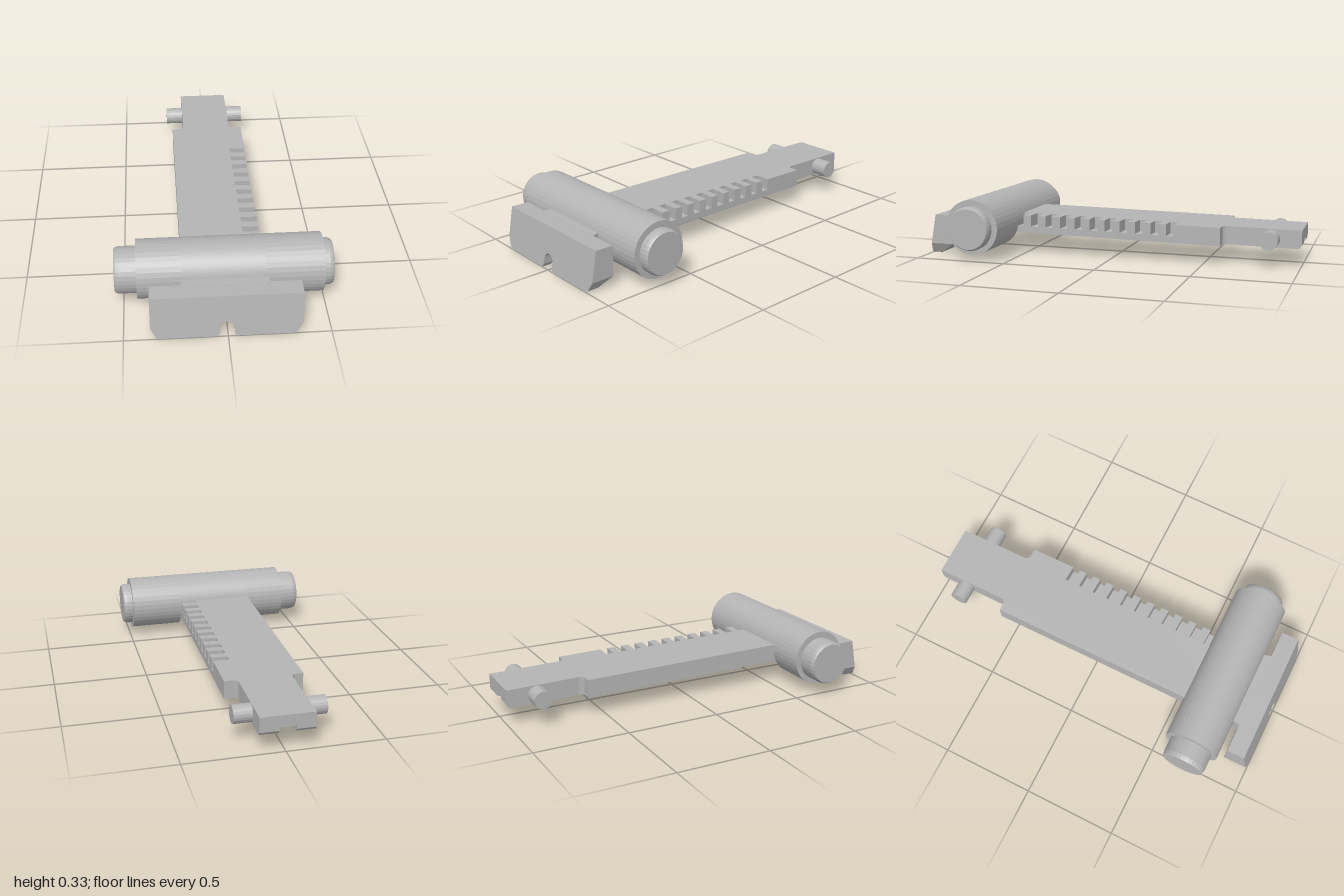
import * as THREE from 'three';

const steel = new THREE.MeshStandardMaterial({ color: 0xb4b4b4, flatShading: true });
steel.name = 'steel grey';

const BAR_L = -0.21, BAR_R = 0.2, TIP_L = -0.145, TIP_R = 0.13;
const GROOVE_L = -0.05, GROOVE_R = 0.035;
const AXIS_Y = 0.183, AXIS_Z = 0.685;

function shapeOf(points) {
  return new THREE.Shape(points.map(([a, b]) => new THREE.Vector2(a, b)));
}

function add(group, name, geometry) {
  const mesh = new THREE.Mesh(geometry, steel);
  mesh.name = name;
  group.add(mesh);
}

// The bar rises gently towards the front
function slope(geometry) {
  const p = geometry.attributes.position;
  for (let i = 0; i < p.count; i++) p.setY(i, p.getY(i) + 0.013 * p.getZ(i));
  geometry.computeVertexNormals();
  return geometry;
}

// Plan outline in (x, z), filled between two heights
function planSlab(points, bottom, top) {
  const g = new THREE.ExtrudeGeometry(shapeOf(points), { depth: top - bottom, bevelEnabled: false });
  return g.rotateX(Math.PI / 2).translate(0, top, 0);
}

// Side outline in (-z, y), filled between two x positions
function sideSlab(shape, x0, x1) {
  const g = new THREE.ExtrudeGeometry(shape, { depth: x1 - x0, bevelEnabled: false, curveSegments: 36 });
  return g.rotateY(Math.PI / 2).translate(x0, 0, 0);
}

// Round part along x, given as [radius, x] pairs
function turned(profile, y, z, sides) {
  const g = new THREE.LatheGeometry(profile.map(([r, x]) => new THREE.Vector2(r, -x)).reverse(), sides);
  return g.rotateZ(Math.PI / 2).translate(0, y, z);
}

// Front plate lofted along x, with chamfered corners, sighting notch and scooped back
function plateGeometry() {
  const lower = [[-0.372, 0.06], [-0.345, 0.012], [-0.325, 0.003], [-0.25, 0.003], [-0.19, 0.003],
    [-0.12, 0.003], [-0.05, 0.003], [-0.041, 0.02], [-0.039, 0.05]];
  for (let i = 1; i < 8; i++) {
    const a = Math.PI * (1 - i / 8);
    lower.push([-0.004 + 0.035 * Math.cos(a), 0.05 + 0.035 * Math.sin(a)]);
  }
  lower.push([0.031, 0.05], [0.033, 0.02], [0.04, 0.003], [0.12, 0.003], [0.19, 0.003],
    [0.25, 0.003], [0.315, 0.003], [0.335, 0.012], [0.362, 0.06]);

  const rings = lower.map(([x, y]) => {
    const back = 0.06 + 0.055 * Math.max(0, 1 - (x / 0.25) ** 2);
    const t = Math.min(1, (y - 0.003) / (back - 0.003));
    const zFront = 1 - 0.04 * (y / 0.22);
    return [[x, 0.22, 0.96], [x, 0.217, 0.865], [x, Math.max(back, y), 0.865], [x, y, 0.95 - 0.085 * t], [x, y, zFront]];
  });
  const pos = [];
  const tri = (a, b, c) => pos.push(...a, ...b, ...c);
  for (let i = 0; i < rings.length - 1; i++) {
    const a = rings[i], b = rings[i + 1];
    for (let j = 0; j < 5; j++) {
      const k = (j + 1) % 5;
      tri(a[j], b[j], b[k]);
      tri(a[j], b[k], a[k]);
    }
  }
  const first = rings[0], last = rings[rings.length - 1];
  for (let j = 1; j < 4; j++) {
    tri(first[0], first[j], first[j + 1]);
    tri(last[0], last[j + 1], last[j]);
  }
  const g = new THREE.BufferGeometry();
  g.setAttribute('position', new THREE.Float32BufferAttribute(pos, 3));
  g.computeVertexNormals();
  return g;
}

export function createModel() {
  const model = new THREE.Group();
  model.name = 'slidingLeaf';

  // Bar: shared outlines of the two edges
  const leftEdge = [[TIP_L, -0.615], [-0.15, -0.6], [-0.162, -0.59], [BAR_L, -0.588],
    [BAR_L, 0.825], [-0.22, 0.865], [-0.22, 0.88]];
  const rightFront = [[0.21, 0.88], [0.21, 0.865], [BAR_R, 0.825]];
  const rightBack = [[BAR_R, -0.588], [0.147, -0.59], [0.135, -0.6], [TIP_R, -0.615]];

  // Upper layer with eleven range notches along one edge
  const notches = [];
  for (let i = 10; i >= 0; i--) {
    const z = -0.345 + i * 0.085;
    notches.push([BAR_R, z + 0.045], [0.114, z + 0.042], [0.114, z], [BAR_R, z + 0.004]);
  }
  const upper = [[TIP_L, -1], ...leftEdge, ...rightFront, ...notches, ...rightBack, [TIP_R, -1]];
  add(model, 'notchedBarTop', slope(planSlab(upper, 0.145, 0.207)));

  // Lower layer with a lengthwise groove
  const lower = [[TIP_L, -0.97], ...leftEdge, ...rightFront, ...rightBack, [TIP_R, -0.97],
    [GROOVE_R, -0.97], [GROOVE_R, 0.5], [GROOVE_L, 0.5], [GROOVE_L, -0.97]];
  add(model, 'groovedBarUnderside', slope(planSlab(lower, 0.11, 0.145)));

  // Rounded lower corners at the tip
  const corner = shapeOf([[0.97, 0.11], [0.99, 0.114], [1, 0.128], [1, 0.145], [0.97, 0.145]]);
  for (const [x0, x1] of [[TIP_L, GROOVE_L], [GROOVE_R, TIP_R]])
    add(model, 'tipCorner', slope(sideSlab(corner, x0, x1)));

  // Pivot pins
  add(model, 'pivotPin', turned([[0, -0.24], [0.047, -0.24], [0.047, 0.225], [0, 0.225]], 0.146, -0.842, 20));

  // Slider barrel: full ends, middle cut away beneath the bar
  const R = 0.147;
  add(model, 'sliderEnd', turned([[0, -0.43], [R, -0.43], [R, BAR_L], [0, BAR_L]], AXIS_Y, AXIS_Z, 36));
  add(model, 'sliderEnd', turned([[0, BAR_R], [R, BAR_R], [R, 0.485], [0, 0.485]], AXIS_Y, AXIS_Z, 36));
  const cut = Math.asin(0.06 / R);
  const saddle = new THREE.Shape();
  saddle.absarc(-AXIS_Z, AXIS_Y, R, -cut, Math.PI + cut, false);
  add(model, 'sliderSaddle', sideSlab(saddle, BAR_L, BAR_R));

  // Push buttons with chamfered rims
  add(model, 'pushButton', turned([[0, -0.538], [0.108, -0.538], [0.113, -0.53], [0.117, -0.515],
    [0.117, -0.42], [0, -0.42]], AXIS_Y - 0.003, AXIS_Z, 32));
  add(model, 'pushButton', turned([[0, 0.475], [0.117, 0.475], [0.117, 0.515], [0.113, 0.528],
    [0.108, 0.536], [0, 0.536]], AXIS_Y - 0.003, AXIS_Z, 32));

  add(model, 'frontPlate', plateGeometry());
  return model;
}
